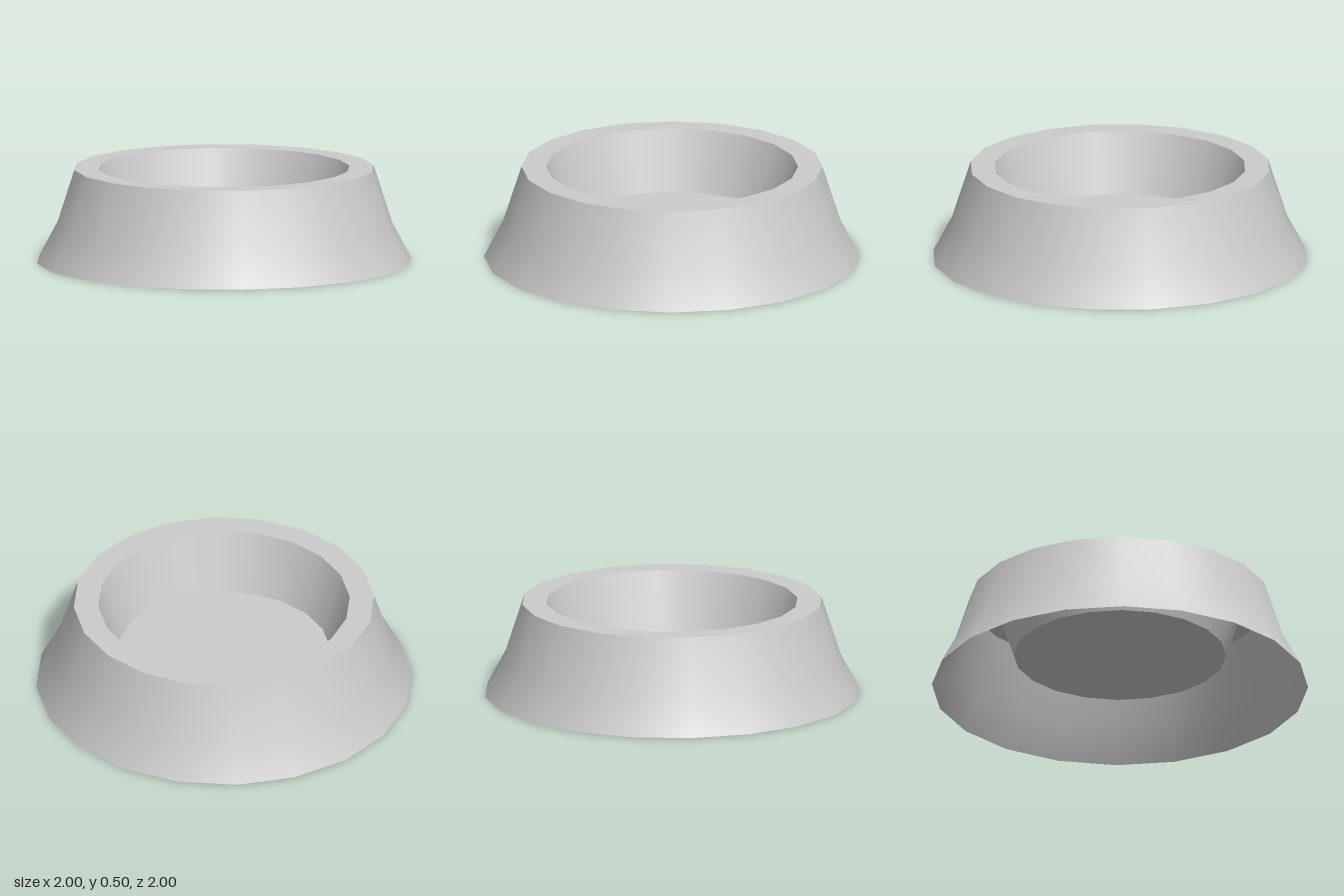
import * as THREE from 'three';

const SIDES = 20;

export function createModel() {
  const model = new THREE.Group();
  model.name = 'bowl';
  const material = new THREE.MeshStandardMaterial({ color: 0xcccccc, side: THREE.DoubleSide });

  const add = (name, geometry) => {
    const mesh = new THREE.Mesh(geometry, material);
    mesh.name = name;
    model.add(mesh);
  };
  // Each surface is its own lathe, so edges between surfaces stay sharp
  const turned = (name, ...profile) =>
    add(name, new THREE.LatheGeometry(profile.map(([r, y]) => new THREE.Vector2(r, y)), SIDES));

  // Flared skirt, open underneath
  turned('outerWall', [1, 0], [0.9, 0.19], [0.8, 0.5]);
  // Flat top edge
  turned('rim', [0.8, 0.5], [0.67, 0.5]);
  // Tapered inside of the bowl
  turned('innerWall', [0.67, 0.5], [0.565, 0.18]);
  // Raised floor of the bowl
  add('floor', new THREE.CircleGeometry(0.565, SIDES).rotateX(-Math.PI / 2).translate(0, 0.18, 0));

  return model;
}
